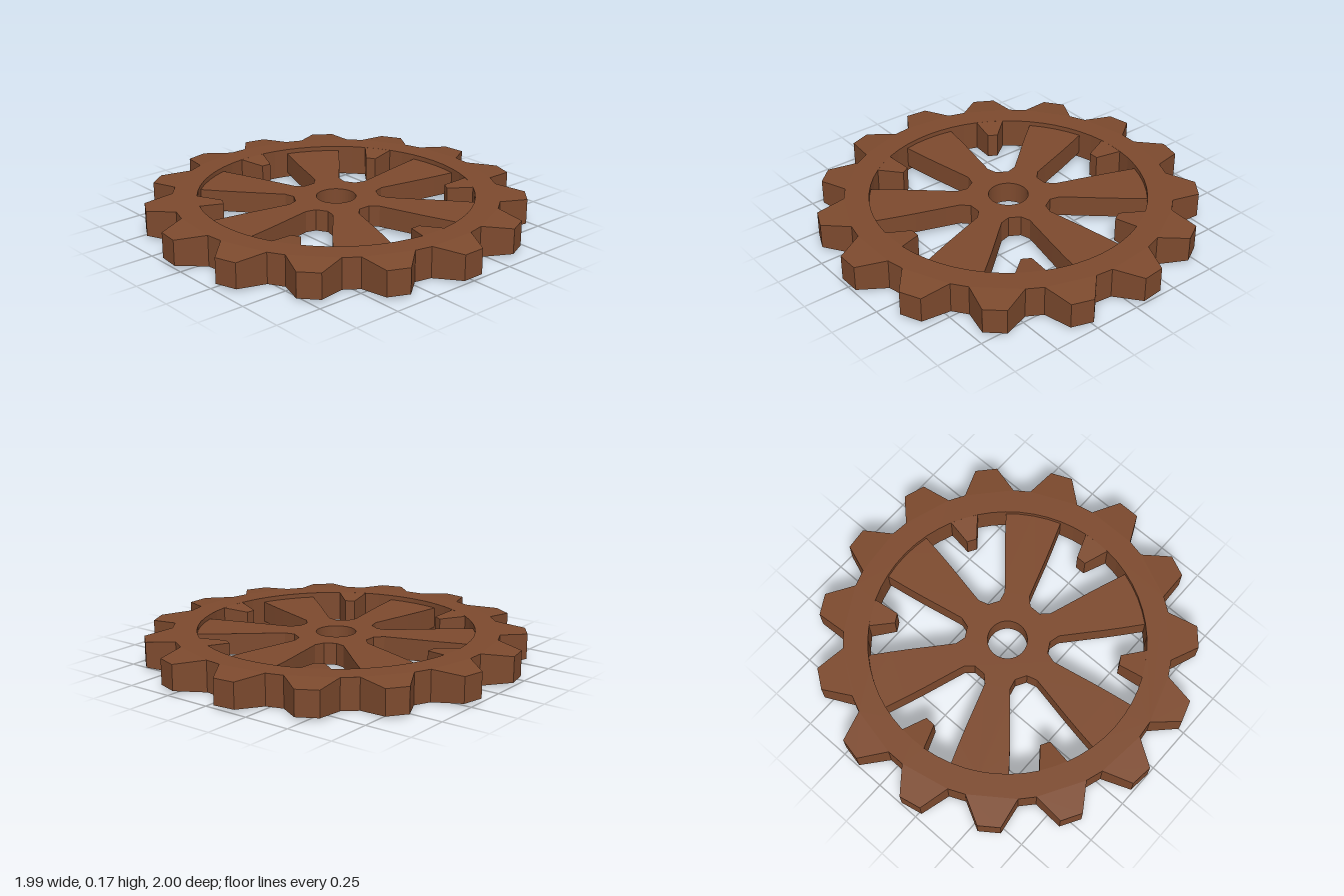
import * as THREE from 'three';

const RAD = Math.PI / 180;
const HEIGHT = 0.165;
const polar = (r, deg) => new THREE.Vector2(r * Math.cos(deg * RAD), r * Math.sin(deg * RAD));

// Extrude a flat outline upward between two heights
function plate(shape, y0, y1) {
  const geo = new THREE.ExtrudeGeometry(shape, { depth: y1 - y0, bevelEnabled: false, curveSegments: 32 });
  geo.rotateX(-Math.PI / 2);
  geo.translate(0, y0, 0);
  return geo;
}

// Tooth along +x, from a wide base to a narrower, slightly thinner tip
function toothGeometry(baseX, baseHalf, tipX, tipHalf, drop) {
  const dir = Math.sign(tipX - baseX);
  const geo = new THREE.BoxGeometry(1, 1, 1).toNonIndexed();
  const p = geo.attributes.position;
  for (let i = 0; i < p.count; i++) {
    const tip = p.getX(i) * dir > 0;
    const y = p.getY(i) > 0 ? HEIGHT - (tip ? drop : 0) : (tip ? drop : 0);
    p.setXYZ(i, tip ? tipX : baseX, y, Math.sign(p.getZ(i)) * (tip ? tipHalf : baseHalf));
  }
  geo.computeVertexNormals();
  return geo;
}

export function createModel() {
  const brown = new THREE.MeshStandardMaterial({ color: 0x7d4a2e });
  brown.name = 'brown';
  const model = new THREE.Group();
  model.name = 'gearWheel';
  const wheel = new THREE.Group();
  wheel.name = 'wheel';
  wheel.position.x = -0.005;
  model.add(wheel);

  const add = (geo, name, angle = 0) => {
    const mesh = new THREE.Mesh(geo, brown);
    mesh.name = name;
    mesh.rotation.y = angle * RAD;
    wheel.add(mesh);
  };

  // Rim: outer edge cornered at the tooth roots, round inside
  const teeth = 15, step = 360 / teeth, rootR = 0.86, rootA = 8.9;
  const outer = [], inner = [];
  for (let i = 0; i < teeth; i++) {
    outer.push(polar(rootR, i * step - rootA), polar(rootR, i * step + rootA));
  }
  for (let a = 0; a < 360; a += 6) inner.push(polar(0.73, a));
  const rim = new THREE.Shape(outer);
  rim.holes.push(new THREE.Path(inner));
  add(plate(rim, 0, HEIGHT), 'rim');

  // Outer teeth
  const root = polar(rootR, rootA), tip = polar(1.001, 3.4);
  const outerTooth = toothGeometry(root.x, root.y, tip.x, tip.y, 0.015);
  for (let i = 0; i < teeth; i++) add(outerTooth, 'outerTooth', i * step);

  // Inner teeth, one in each gap between spokes
  const innerTooth = toothGeometry(0.732, 0.077, 0.598, 0.027, 0.015);
  for (let i = 0; i < 6; i++) add(innerTooth, 'innerTooth', i * 60);

  // Hub and six flared spokes as one recessed plate
  // Half of a spoke: distance along it, half width
  const edge = [[0.208, 0.083], [0.262, 0.067], [0.34, 0.082], [0.5, 0.114], [0.6, 0.132], [0.735, 0.154]];
  const web = [];
  for (let i = 0; i < 6; i++) {
    const centre = new THREE.Vector2();
    const angle = (30 + i * 60) * RAD;
    const put = (r, w) => web.push(new THREE.Vector2(r, w).rotateAround(centre, angle));
    edge.forEach(([r, w]) => put(r, -w));
    put(0.755, 0);
    [...edge].reverse().forEach(([r, w]) => put(r, w));
  }
  const webShape = new THREE.Shape(web);
  webShape.holes.push(new THREE.Path().absarc(0, 0, 0.105, 0, Math.PI * 2, true));
  add(plate(webShape, 0.025, HEIGHT - 0.025), 'hubAndSpokes');

  return model;
}
